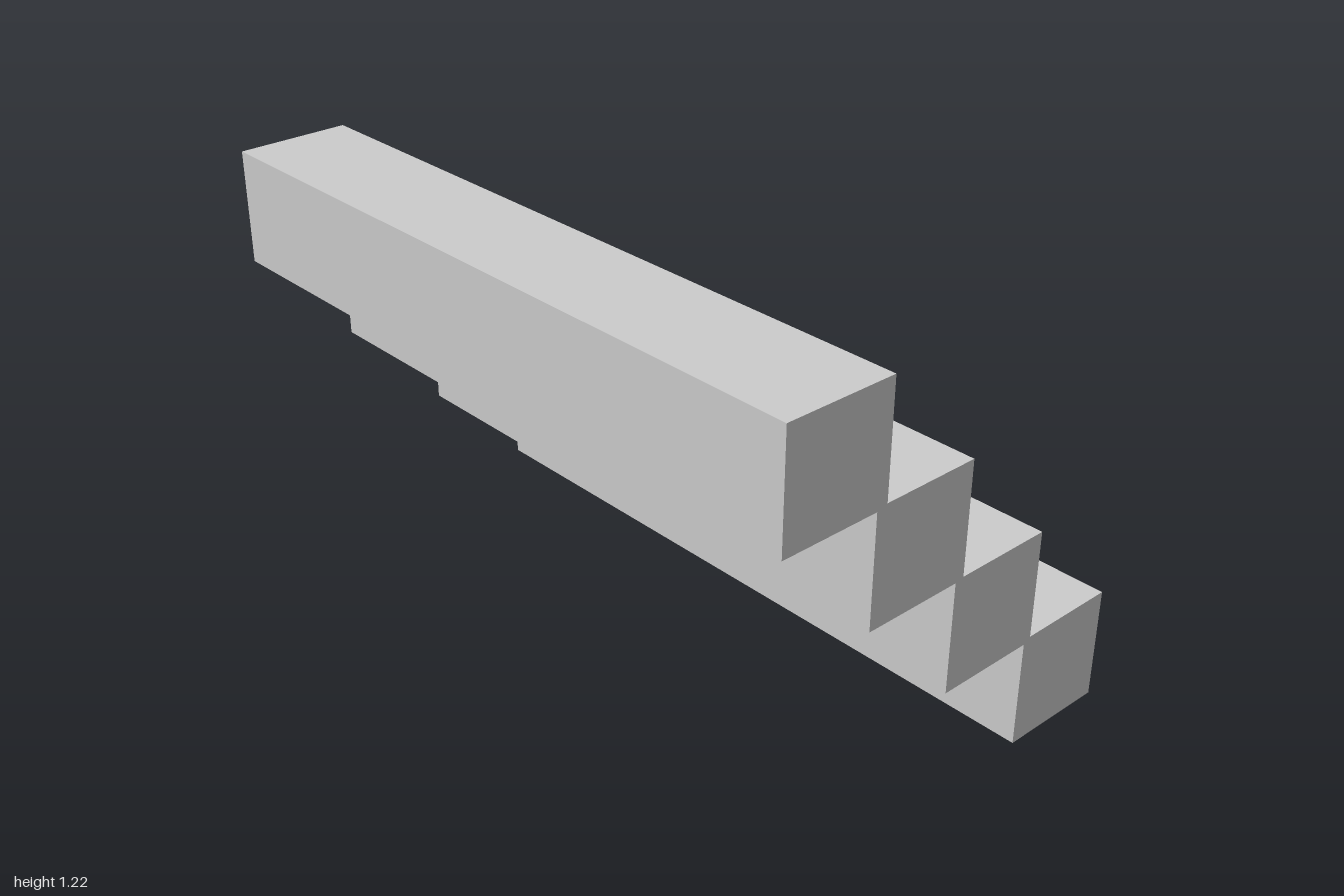
import * as THREE from 'three';

export function createModel() {
  const model = new THREE.Group();
  model.name = 'staircase';
  const material = new THREE.MeshStandardMaterial({ color: 0xcccccc, flatShading: true });

  // Four identical square beams, slightly overlapping at their edges
  const side = 0.311;
  const stepGeometry = new THREE.BoxGeometry(side, side, 2);

  // Centre of each step in x and the height of its underside, lowest first
  const steps = [[0.427, 0], [0.138, 0.298], [-0.147, 0.603], [-0.427, 0.905]];
  steps.forEach(([x, bottom], i) => {
    const step = new THREE.Mesh(stepGeometry, material);
    step.name = `step${i + 1}`;
    step.position.set(x, bottom + side / 2, 0);
    model.add(step);
  });

  return model;
}
